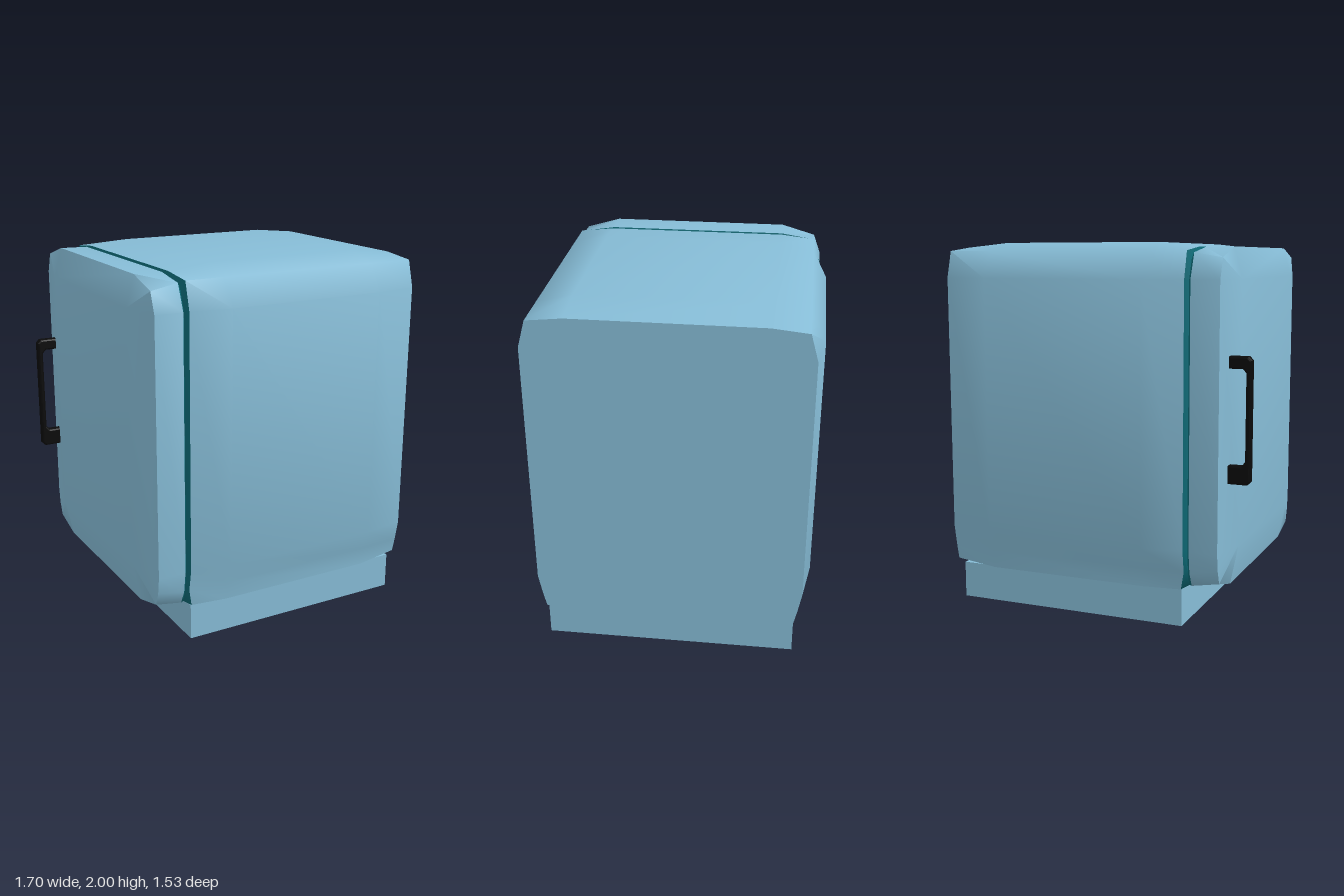
import * as THREE from 'three';
import { toCreasedNormals } from 'three/addons/utils/BufferGeometryUtils.js';

const blue = new THREE.MeshStandardMaterial({ color: 0x86bcd6 });
const teal = new THREE.MeshStandardMaterial({ color: 0x0c6874 });
const black = new THREE.MeshStandardMaterial({ color: 0x0a0a0a });

// Cross-section at x: half profile from top centre-side to bottom, mirrored in z.
function section(x, { top, corner, side, low, foot, footX = x }) {
  const half = [
    [0.5, top, x], [...corner, x], [side, 1.81, x], [side, 0.42, x],
    [...low, x], [...foot, footX], [0.5, 0.2, footX],
  ];
  const ring = half.map(([z, y, px]) => new THREE.Vector3(px, y, z));
  return ring.concat(ring.map((p) => new THREE.Vector3(p.x, p.y, -p.z)).reverse());
}

// Skin the cross-sections in order of rising x and close both ends.
function loft(rings) {
  const pos = [];
  const tri = (a, b, c) => {
    const n = b.clone().sub(a).cross(c.clone().sub(a));
    if (n.length() > 1e-7) for (const p of [a, b, c]) pos.push(p.x, p.y, p.z);
  };
  const n = rings[0].length;
  const centre = (r) => r.reduce((s, p) => s.add(p), new THREE.Vector3()).divideScalar(n);
  const first = rings[0], last = rings[rings.length - 1];
  const c0 = centre(first), c1 = centre(last);
  c0.x = first[0].x;
  c1.x = last[0].x;
  for (let i = 0; i < n; i++) {
    const j = (i + 1) % n;
    for (let k = 0; k < rings.length - 1; k++) {
      const a = rings[k], b = rings[k + 1];
      tri(a[i], a[j], b[j]);
      tri(a[i], b[j], b[i]);
    }
    tri(c0, first[j], first[i]);
    tri(c1, last[i], last[j]);
  }
  const g = new THREE.BufferGeometry();
  g.setAttribute('position', new THREE.Float32BufferAttribute(pos, 3));
  return toCreasedNormals(g, 1.2);
}

export function createModel() {
  const model = new THREE.Group();
  const add = (name, geometry, material) => {
    const mesh = new THREE.Mesh(geometry, material);
    mesh.name = name;
    model.add(mesh);
    return mesh;
  };

  // Cabinet: bulges slightly between its front rim and its back
  const end = { top: 1.975, corner: [0.69, 1.955], side: 0.73, low: [0.708, 0.3], foot: [0.69, 0.22] };
  const rim = { ...end, foot: [0.69, 0.2], footX: -0.5 };
  const bulge = { top: 2, corner: [0.69, 1.955], side: 0.767, low: [0.722, 0.3], foot: [0.715, 0.2] };
  add('cabinet', loft([
    section(-0.522, rim), section(-0.3, bulge), section(0.6, bulge), section(0.85, end),
  ]), blue);

  // Door: rim plus a shallow domed front rising to a flat panel
  const doorBack = { top: 1.972, corner: [0.675, 1.945], side: 0.73, low: [0.712, 0.3], foot: [0.675, 0.222] };
  const doorRim = { top: 1.975, corner: [0.69, 1.92], side: 0.73, low: [0.718, 0.33], foot: [0.69, 0.255] };
  const panel = section(-0.755, doorRim).map((p) => new THREE.Vector3(
    -0.755, THREE.MathUtils.clamp(p.y, 0.42, 1.81), 0.5 * Math.sign(p.z)));
  add('door', loft([panel, section(-0.71, doorRim), section(-0.555, doorBack)]), blue);

  // Seal: V-shaped groove between door and cabinet
  const groove = { top: 1.937, corner: [0.665, 1.915], side: 0.703, low: [0.69, 0.3], foot: [0.67, 0.225] };
  add('seal', loft([
    section(-0.555, doorBack), section(-0.539, groove), section(-0.522, rim),
  ]), teal);

  // Plinth
  add('plinth', new THREE.BoxGeometry(1.315, 0.2, 1.38), blue).position.set(0.1525, 0.1, 0);

  // Handle: bevelled C-shaped bar
  const c = new THREE.Shape([
    [-0.72, 1.43], [-0.83, 1.43], [-0.85, 1.41], [-0.85, 0.79], [-0.83, 0.77], [-0.72, 0.77],
    [-0.72, 0.87], [-0.8, 0.87], [-0.818, 0.89], [-0.818, 1.345], [-0.8, 1.365], [-0.72, 1.365],
  ].map(([x, y]) => new THREE.Vector2(x, y)));
  const bar = new THREE.ExtrudeGeometry(c, {
    depth: 0.022, bevelThickness: 0.013, bevelSize: 0.011, bevelOffset: -0.011, bevelSegments: 2,
  });
  add('handle', bar, black).position.z = -0.621;

  return model;
}
